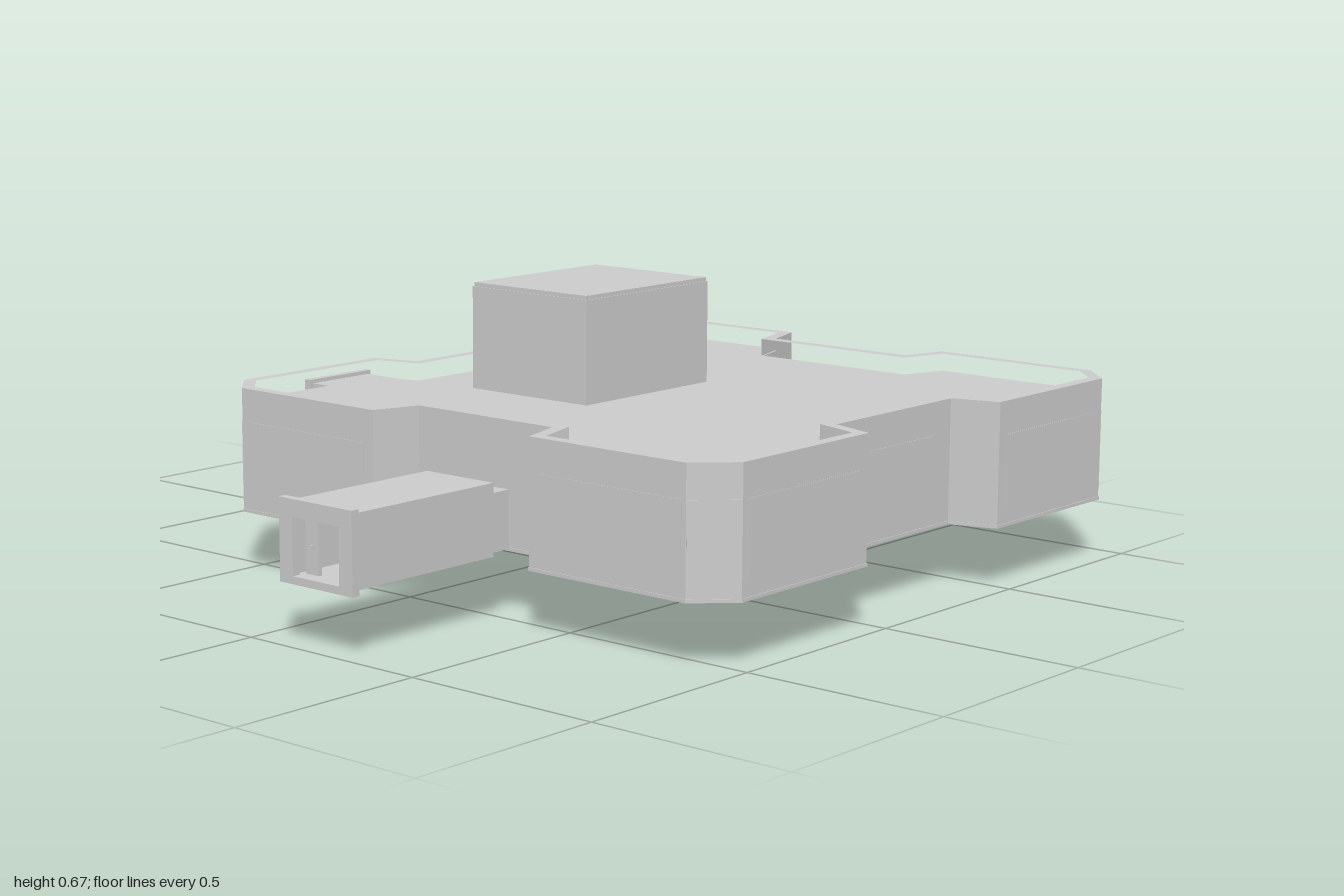
import * as THREE from 'three';

const grey = new THREE.MeshStandardMaterial({ color: 0xcccccc, flatShading: true });
const sheet = new THREE.MeshStandardMaterial({ color: 0xcccccc, flatShading: true, side: THREE.DoubleSide });
const CX = 0.2075, CZ = -0.21; // centre of the main building

function add(parent, name, geometry, material = grey) {
  const mesh = new THREE.Mesh(geometry, material);
  mesh.name = name;
  parent.add(mesh);
  return mesh;
}

// Box given by its limits on each axis
function box(parent, name, x0, x1, y0, y1, z0, z1) {
  const mesh = add(parent, name, new THREE.BoxGeometry(x1 - x0, y1 - y0, z1 - z0));
  mesh.position.set((x0 + x1) / 2, (y0 + y1) / 2, (z0 + z1) / 2);
  return mesh;
}

// Plan outline: one quadrant mirrored four ways, with inset d
function outline(d = 0) {
  const q = [
    [0.6575 - d, 0.225 + 0.7 * d], [0.7725 - d, 0.26 + 0.7 * d], [0.7725 - d, 0.705 - 0.4 * d],
    [0.6875 - 0.4 * d, 0.79 - d], [0.2425 + 0.8 * d, 0.79 - d], [0.2075 + 0.8 * d, 0.675 - d],
  ];
  const r = [...q].reverse();
  return [
    ...q, ...r.map(([x, z]) => [-x, z]),
    ...q.map(([x, z]) => [-x, -z]), ...r.map(([x, z]) => [x, -z]),
  ].map(([x, z]) => new THREE.Vector2(x + CX, -(z + CZ)));
}

const rect = (x0, x1, z0, z1) =>
  [[x0, z0], [x1, z0], [x1, z1], [x0, z1]].map(([x, z]) => new THREE.Vector2(x, -z));

// Horizontal plate or wall ring from a plan outline with holes
function slab(parent, name, points, holes, y0, y1) {
  const shape = new THREE.Shape(points);
  shape.holes = holes.map((h) => new THREE.Path(h));
  const g = new THREE.ExtrudeGeometry(shape, { depth: y1 - y0, bevelEnabled: false });
  g.rotateX(-Math.PI / 2).translate(0, y0, 0);
  return add(parent, name, g);
}

// Entrance corridor running along +z from the wall
function corridor(name) {
  const g = new THREE.Group();
  g.name = name;
  const tube = (part, w, y0, y1, z0, z1, iw, iy0, iy1) => {
    box(g, part + 'Floor', -w, w, y0, iy0, z0, z1);
    box(g, part + 'Ceiling', -w, w, iy1, y1, z0, z1);
    for (const s of [-1, 1]) {
      const a = s * iw, b = s * w;
      box(g, part + 'Side', Math.min(a, b), Math.max(a, b), iy0, iy1, z0, z1);
    }
  };
  tube('neck', 0.08, 0.152, 0.29, -0.02, 0.08, 0.07, 0.158, 0.285);
  tube('passage', 0.103, 0.15, 0.32, 0.075, 0.515, 0.085, 0.158, 0.3);
  tube('endFrame', 0.113, 0.14, 0.33, 0.507, 0.527, 0.072, 0.158, 0.29);
  box(g, 'innerDoor', -0.07, 0.07, 0.158, 0.285, 0, 0.01);
  box(g, 'doorLeaf', -0.07, -0.03, 0.158, 0.285, 0.48, 0.49);
  box(g, 'doorHandle', -0.05, -0.044, 0.215, 0.225, 0.49, 0.497);
  return g;
}

export function createModel() {
  const model = new THREE.Group();
  model.name = 'outpost';

  // Main building
  const stairwell = rect(-0.23, 0.1, -0.42, 0);
  slab(model, 'outerWall', outline(), [outline(0.03)], 0.15, 0.45);
  slab(model, 'floor', outline(0.025), [stairwell, rect(0.16, 0.33, -0.33, -0.05)], 0.152, 0.165);
  slab(model, 'roofDeck', outline(0.025), [stairwell], 0.39, 0.405);
  slab(model, 'baseTrim', outline(-0.002), [outline(0.02)], 0.148, 0.156);
  slab(model, 'floorFrame', rect(0.15, 0.52, -0.56, 0.03), [rect(0.165, 0.505, -0.545, 0.015)], 0.147, 0.155);

  // Thin wall panels, mirrored around the four corner blocks
  const panels = new THREE.Group();
  panels.name = 'wallPanels';
  panels.position.set(CX, 0, CZ);
  model.add(panels);
  const t = 0.0015;
  for (const sx of [-1, 1]) for (const sz of [-1, 1]) {
    const a = box(panels, 'sidePanel', -t, t, 0.175, 0.37, -0.2, 0.2);
    a.position.set(sx * 0.7725, 0.2725, sz * 0.49);
    const b = box(panels, 'endPanel', -0.2, 0.2, 0.175, 0.37, -t, t);
    b.position.set(sx * 0.475, 0.2725, sz * 0.79);
    const c = box(panels, 'cornerPanel', -0.058, 0.058, 0.175, 0.37, -t, t);
    c.position.set(sx * 0.73, 0.2725, sz * 0.7475);
    c.rotation.y = sx * sz * Math.PI / 4;
  }
  box(panels, 'backPanel', -0.15, 0.15, 0.175, 0.37, -0.677, -0.674);
  box(panels, 'leftPanel', 0.656, 0.659, 0.175, 0.37, -0.16, 0.16);

  // Rooftop stair house with a doorway in its right side
  slab(model, 'stairHouseWalls', rect(-0.248, 0.125, -0.44, 0.02), [rect(-0.23, 0.11, -0.425, 0.005)], 0.52, 0.66);
  box(model, 'stairHouseRoof', -0.245, 0.122, 0.655, 0.67, -0.437, 0.017);
  box(model, 'backWall', -0.248, 0.125, 0.4, 0.52, -0.44, -0.425);
  box(model, 'frontWall', -0.248, 0.125, 0.4, 0.52, 0.005, 0.02);
  box(model, 'leftWall', 0.11, 0.125, 0.4, 0.52, -0.425, 0.005);
  box(model, 'doorSideWall', -0.248, -0.23, 0.4, 0.52, -0.33, 0.005);
  box(model, 'doorPost', -0.248, -0.23, 0.4, 0.52, -0.425, -0.4);

  // Stairs from the doorway down to the floor, between two thin stringers
  const stairs = new THREE.Group();
  stairs.name = 'stairs';
  model.add(stairs);
  const n = 9;
  for (let i = 0; i < n; i++) {
    const x = -0.23 + i * 0.036, y = 0.39 - i * 0.026;
    box(stairs, 'step', x, x + 0.037, y - 0.026, y, -0.415, -0.225);
  }
  const side = new THREE.Shape([[-0.23, 0.39], [-0.23, 0.15], [-0.02, 0], [-0.02, 0.24]]
    .map(([x, y]) => new THREE.Vector2(x, y)));
  for (const z of [-0.417, -0.224]) {
    add(stairs, 'stringer', new THREE.ShapeGeometry(side), sheet).position.z = z;
  }

  // Two entrance corridors
  const front = corridor('frontCorridor');
  front.position.set(0.2025, 0, 0.465);
  const right = corridor('rightCorridor');
  right.position.set(-0.45, 0, -0.2075);
  right.rotation.y = -Math.PI / 2;
  model.add(front, right);

  return model;
}
